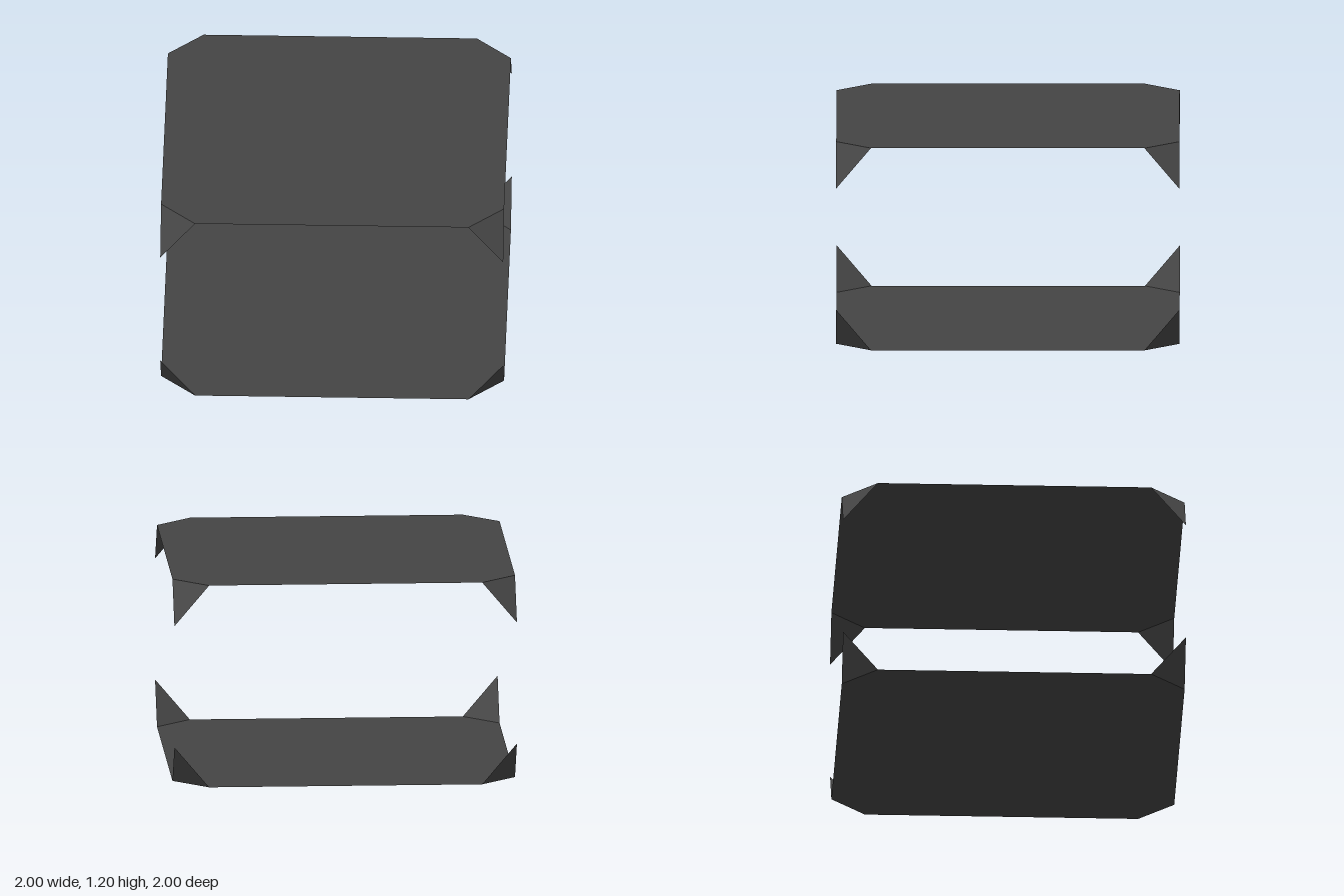
import * as THREE from 'three';

const HALF = 1;       // half width of a panel
const CUT = 0.797;    // where the corner folds begin
const DROP = 0.24;    // how far each corner tip folds
const HEIGHT = 1.2;   // distance between the two panels

export function createModel() {
  const charcoal = new THREE.MeshStandardMaterial({ color: 0x444444 });
  charcoal.name = 'charcoal';
  charcoal.side = THREE.DoubleSide;
  charcoal.flatShading = true;

  // Flat square sheet with its corners cut off
  const outline = [];
  for (const [x, y] of [[1, 1], [-1, 1], [-1, -1], [1, -1]]) {
    const ends = [
      new THREE.Vector2(x * HALF, y * CUT),
      new THREE.Vector2(x * CUT, y * HALF),
    ];
    outline.push(...(x * y > 0 ? ends : ends.reverse()));
  }
  const sheetGeometry = new THREE.ShapeGeometry(new THREE.Shape(outline));
  sheetGeometry.rotateX(-Math.PI / 2);

  // Triangular corner folded down from the sheet
  const flapGeometry = new THREE.BufferGeometry().setFromPoints([
    new THREE.Vector3(CUT, 0, HALF),
    new THREE.Vector3(HALF, -DROP, HALF),
    new THREE.Vector3(HALF, 0, CUT),
  ]);
  flapGeometry.computeVertexNormals();

  function makePanel(name) {
    const panel = new THREE.Group();
    panel.name = name;
    const sheet = new THREE.Mesh(sheetGeometry, charcoal);
    sheet.name = 'sheet';
    panel.add(sheet);
    for (let i = 0; i < 4; i++) {
      const flap = new THREE.Mesh(flapGeometry, charcoal);
      flap.name = 'cornerFlap';
      flap.rotation.y = i * Math.PI / 2;
      panel.add(flap);
    }
    return panel;
  }

  const model = new THREE.Group();
  model.name = 'panelPair';

  // Upper panel folds down, lower panel is turned over so it folds up
  const upper = makePanel('upperPanel');
  upper.position.y = HEIGHT;
  const lower = makePanel('lowerPanel');
  lower.rotation.x = Math.PI;
  model.add(upper, lower);
  return model;
}
